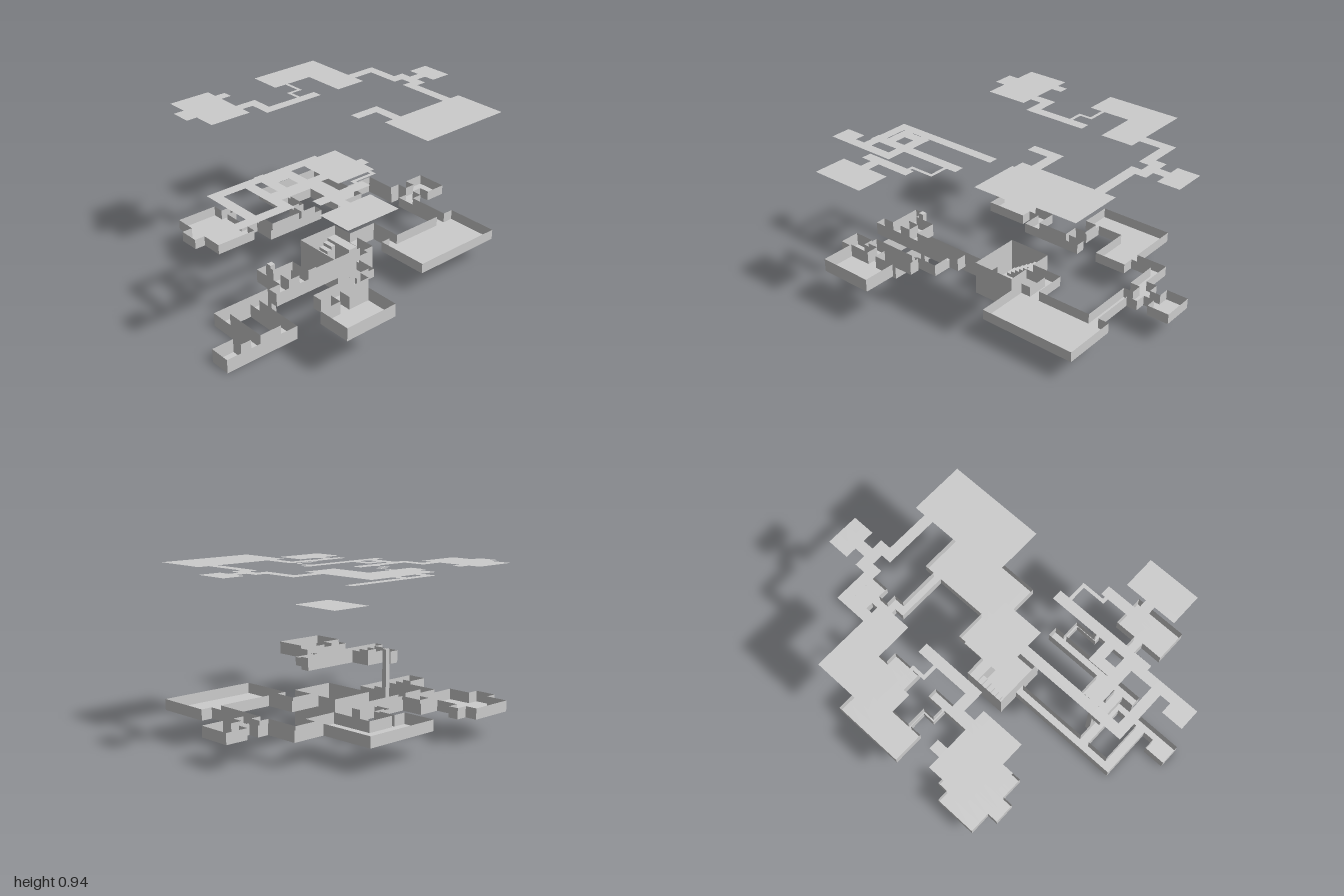
import * as THREE from 'three';
import { mergeGeometries } from 'three/addons/utils/BufferGeometryUtils.js';

const material = new THREE.MeshStandardMaterial({ color: 0xcccccc, side: THREE.DoubleSide });
const WIDE = 0.06, NARROW = 0.02;

// Doorways of the hall as [x, z, lowest y, highest y]
const doors = [[-0.1, 0, 0, 0.08], [0.16, 0, 0.14, 0.2]];

const round = (v) => Math.round(v * 1000) / 1000;
const unique = (list) => [...new Set(list)].sort((a, b) => a - b);
const room = (x0, x1, z0, z1, top) => ({ x0, x1, z0, z1, top });

// Corridor of one width along [x, z] points, as one rectangle per leg
function corridor(width, points, top) {
  const h = width / 2;
  return points.slice(1).map(([x, z], i) => {
    const [px, pz] = points[i];
    return room(
      round(Math.min(x, px) - h), round(Math.max(x, px) + h),
      round(Math.min(z, pz) - h), round(Math.max(z, pz) + h), top);
  });
}

// Flat sheet from corner a, spanned by the edges u and v
function quad(a, u, v) {
  const origin = new THREE.Vector3(...a), eu = new THREE.Vector3(...u), ev = new THREE.Vector3(...v);
  const corners = [origin, origin.clone().add(eu), origin.clone().add(eu).add(ev), origin.clone().add(ev)];
  const g = new THREE.BufferGeometry().setFromPoints(corners);
  g.setIndex([0, 1, 2, 0, 2, 3]);
  g.computeVertexNormals();
  return g;
}

// Splits the rooms into cells and walls every cell edge that has no neighbour
function buildLevel(name, floor, top, ceiling, rooms) {
  const xs = unique(rooms.flatMap((r) => [r.x0, r.x1]));
  const zs = unique(rooms.flatMap((r) => [r.z0, r.z1]));
  const roomAt = (i, j) => {
    const x = (xs[i] + xs[i + 1]) / 2, z = (zs[j] + zs[j + 1]) / 2;
    return rooms.find((r) => x > r.x0 && x < r.x1 && z > r.z0 && z < r.z1);
  };
  const floors = [], walls = [], ceilings = [];

  const addWall = (x, z, dx, dz, h) => {
    const mx = x + dx / 2, mz = z + dz / 2;
    const door = doors.find((d) => Math.hypot(d[0] - mx, d[1] - mz) < 0.005);
    const spans = door ? [[floor, door[2]], [door[3], h]] : [[floor, h]];
    for (const [lo, hi] of spans) {
      if (hi - lo > 0.001) walls.push(quad([x, lo, z], [dx, 0, dz], [0, hi - lo, 0]));
    }
  };

  for (let i = 0; i < xs.length - 1; i++) {
    for (let j = 0; j < zs.length - 1; j++) {
      const cell = roomAt(i, j);
      if (!cell) continue;
      const x = xs[i], z = zs[j], w = xs[i + 1] - x, d = zs[j + 1] - z;
      const h = cell.top ?? top;
      floors.push(quad([x, floor, z], [0, 0, d], [w, 0, 0]));
      ceilings.push(quad([x, ceiling, z], [0, 0, d], [w, 0, 0]));
      if (!roomAt(i, j + 1)) addWall(x, z + d, w, 0, h);
      if (!roomAt(i, j - 1)) addWall(x + w, z, -w, 0, h);
      if (!roomAt(i + 1, j)) addWall(x + w, z + d, 0, -d, h);
      if (!roomAt(i - 1, j)) addWall(x, z, 0, d, h);
    }
  }

  const group = new THREE.Group();
  group.name = name;
  for (const [part, list] of [['floor', floors], ['walls', walls], ['ceiling', ceilings]]) {
    const mesh = new THREE.Mesh(mergeGeometries(list), material);
    mesh.name = part;
    group.add(mesh);
  }
  return group;
}

function box(name, x0, x1, y0, y1, z0, z1) {
  const mesh = new THREE.Mesh(new THREE.BoxGeometry(x1 - x0, y1 - y0, z1 - z0), material);
  mesh.name = name;
  mesh.position.set((x0 + x1) / 2, (y0 + y1) / 2, (z0 + z1) / 2);
  return mesh;
}

export function createModel() {
  const model = new THREE.Group();
  model.name = 'undergroundMap';

  // Lower level: a looping corridor with an end room
  model.add(buildLevel('lowerLevel', 0, 0.08, 0.775, [
    ...corridor(WIDE, [[-0.13, 0], [-0.58, 0], [-0.58, 0.32], [-0.9, 0.32]]),
    ...corridor(WIDE, [[-0.58, 0], [-0.775, 0], [-0.775, 0.32]]),
    room(-1, -0.87, 0.225, 0.35),
  ]));

  // Tall square hall, split at its doorways
  model.add(buildLevel('centralHall', 0, 0.2, 0.68, [
    room(-0.1, 0.16, -0.16, -0.03),
    room(-0.1, 0.16, -0.03, 0.03),
    room(-0.1, 0.16, 0.03, 0.16),
  ]));

  // Middle level: a chain of rooms round the right and back
  model.add(buildLevel('middleLevel', 0.14, 0.2, 0.936, [
    ...corridor(WIDE, [[0.19, 0], [0.32, 0], [0.32, 0.19]]),
    room(0.23, 0.805, 0.16, 0.48),
    ...corridor(WIDE, [[0.71, 0.19], [0.71, -0.13]]),
    room(0.74, 0.805, -0.29, -0.1),
    ...corridor(WIDE, [[0.8, -0.195], [0.9, -0.195]]),
    room(0.87, 1, -0.29, -0.1),
    ...corridor(WIDE, [[0.71, -0.255], [0.71, -0.455], [0.55, -0.455]]),
    room(0.355, 0.55, -0.61, -0.355),
    room(0.1, 0.55, -0.805, -0.61),
    ...corridor(NARROW, [[0.185, -0.62], [0.185, -0.495], [0.11, -0.495], [0.11, -0.41]]),
    ...corridor(WIDE, [[0.195, -0.385], [-0.13, -0.385], [-0.13, -0.515], [-0.25, -0.515]]),
    room(-0.485, -0.23, -0.81, -0.42),
    room(-0.55, -0.485, -0.68, -0.555),
    room(-0.23, -0.165, -0.74, -0.68),
  ]));

  // Upper level: corridors leading to the front room
  model.add(buildLevel('upperLevel', 0.255, 0.33, 0.86, [
    ...corridor(WIDE, [[-0.58, 0.13], [-0.58, 0.32]]),
    ...corridor(WIDE, [[-0.58, 0.19], [-0.45, 0.19], [-0.45, 0.32]]),
    ...corridor(WIDE, [[-0.65, 0.32], [-0.09, 0.32]]),
    ...corridor(WIDE, [[-0.52, 0.51], [-0.26, 0.51]]),
    ...corridor(WIDE, [[-0.455, 0.54], [-0.455, 0.62]]),
    room(-0.615, -0.295, 0.61, 0.805),
    ...corridor(NARROW, [[-0.13, 0.34], [-0.13, 0.455], [-0.265, 0.455], [-0.265, 0.49]], 0.305),
  ]));

  // Shaft joining the lower and upper levels
  model.add(box('shaft', -0.55, -0.52, 0, 0.345, 0.108, 0.138));

  // Stairs along the back of the hall, up to a landing by the upper doorway
  const stairs = new THREE.Group();
  stairs.name = 'stairs';
  for (let i = 0; i < 6; i++) {
    const x = -0.08 + i * 0.03;
    stairs.add(box('step', x, x + 0.03, 0.001, 0.02 * (i + 1), -0.159, -0.09));
  }
  stairs.add(box('landing', 0.1, 0.159, 0.001, 0.139, -0.159, 0.03));
  model.add(stairs);
  return model;
}
